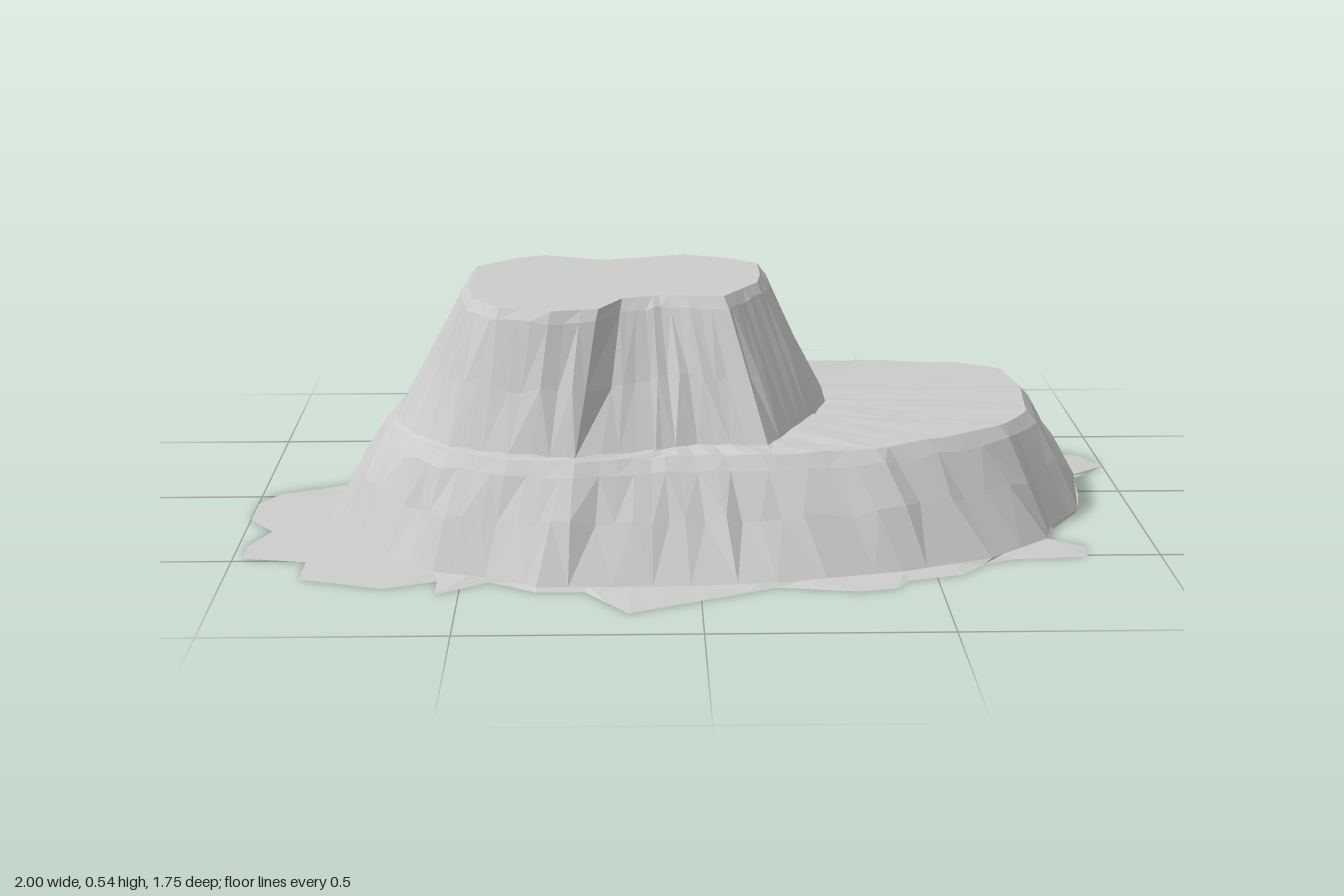
import * as THREE from 'three';

const SEGMENTS = 90;
const STEP = (Math.PI * 2) / SEGMENTS;
const CENTRE = [-0.12, 0.1];
const SUMMIT_HEIGHT = 0.544;

// Plan outlines as x, z pairs in hundredths of a unit
const SKIRT = [-39,-88, -25,-83, -25,-78, -12,-77, -6,-81, -1,-78, 3,-73, 10,-80, 19,-79, 28,-69, 36,-65, 43,-56,
  44,-47, 60,-46, 66,-50, 73,-48, 82,-43, 84,-36, 96,-32, 100,-22, 95,-15, 87,-18, 89,-8, 88,7, 88,14, 86,21, 80,30,
  78,39, 85,44, 84,51, 75,49, 61,56, 56,63, 44,67, 41,72, 33,74, 16,71, -15,87, -24,73, -34,73, -44,66, -55,65,
  -55,74, -84,63, -84,51, -93,53, -98,48, -98,39, -94,28, -100,19, -100,6, -96,-2, -80,-10, -77,-25, -72,-25,
  -75,-40, -70,-45, -70,-56, -59,-67, -48,-73];
const LOWER_BASE = [89,-8, 88,7, 87,20, 79,31, 77,40, 63,54, 43,63, 16,70, -2,72, -23,72, -34,72, -45,65, -56,61,
  -67,51, -74,43, -79,30, -82,16, -80,0, -77,-13, -70,-21, -72,-40, -69,-50, -59,-60, -47,-72, -24,-75, -8,-74,
  8,-67, 19,-61, 30,-50, 43,-43, 62,-46, 75,-41, 83,-29];
// The two tiers meet in one wall along the front right
const LOWER_TOP = [75,-24, 77,-8, 76,6, 75,18, 67,31, 54,40, 38,50, 16,54, 3,54, -10,56, -26,60, -40,57, -53,50,
  -61,41, -67,26, -67,8, -65,-8, -62,-18, -61,-34, -56,-45, -45,-56, -29,-61, -16,-61, -5,-55, 8,-46, 30,-34,
  43,-33, 59,-32, 70,-29];
const UPPER_BASE = [30,-2, 30,11, 27,22, 23,32, 15,49, 0,49, -9,53, -26,59, -40,56, -53,49, -60,40, -66,26, -66,8,
  -63,-8, -57,-16, -45,-20, -21,-21, -8,-27, 8,-28, 16,-26, 24,-17];
const UPPER_TOP = [15,-2, 15,11, 14,20, 6,35, -8,34, -16,37, -21,48, -31,50, -42,46, -48,36, -50,22, -49,8, -49,0,
  -40,-10, -34,-13, -21,-7, -13,-9, -2,-13, 8,-9];

let seed = 7;
function jitter(amount) {
  seed = (seed * 16807) % 2147483647;
  return (seed / 2147483647 - 0.5) * 2 * amount;
}

// Signed difference between two angles
const turn = (a, b) => Math.atan2(Math.sin(a - b), Math.cos(a - b));

// Sample an outline at even angles, keeping its corners where possible
function ring(outline, heightAt) {
  const points = [];
  for (let i = 0; i < outline.length; i += 2) {
    points.push([outline[i] / 100 - CENTRE[0], outline[i + 1] / 100 - CENTRE[1]]);
  }
  const angles = points.map(([x, z]) => Math.atan2(z, x));
  const result = [];
  for (let s = 0; s < SEGMENTS; s++) {
    const corner = angles.findIndex((a) => Math.abs(turn(a, s * STEP)) < STEP * 0.5);
    const angle = corner >= 0 ? angles[corner] : s * STEP;
    const dx = Math.cos(angle), dz = Math.sin(angle);
    let radius = corner >= 0 ? Math.hypot(...points[corner]) : 0;
    if (corner < 0) {
      points.forEach(([ax, az], i) => {
        const [bx, bz] = points[(i + 1) % points.length];
        const ex = bx - ax, ez = bz - az;
        const det = dx * ez - dz * ex;
        if (Math.abs(det) < 1e-9) return;
        const t = (ax * ez - az * ex) / det;
        const u = (ax * dz - az * dx) / det;
        if (t > 0 && u >= -1e-6 && u <= 1 + 1e-6) radius = Math.max(radius, t);
      });
    }
    result.push(new THREE.Vector3(CENTRE[0] + dx * radius, heightAt(angle), CENTRE[1] + dz * radius));
  }
  return result;
}

// Ring between two others, roughened sideways and in height
function between(outer, inner, t, rough, lift, bulge = 0) {
  return outer.map((p, i) => {
    const q = p.clone().lerp(inner[i], t);
    const out = new THREE.Vector3(q.x - CENTRE[0], 0, q.z - CENTRE[1]).normalize();
    q.addScaledVector(out, bulge + jitter(rough));
    q.y += jitter(lift);
    return q;
  });
}

// Faceted surface through rings ordered from outside to inside
function band(name, rings, material) {
  const index = [];
  for (let r = 0; r < rings.length - 1; r++) {
    for (let s = 0; s < SEGMENTS; s++) {
      const n = (s + 1) % SEGMENTS;
      const a = r * SEGMENTS + s, b = r * SEGMENTS + n;
      const c = a + SEGMENTS, d = b + SEGMENTS;
      if (s % 2) index.push(a, c, b, b, c, d);
      else index.push(a, c, d, a, d, b);
    }
  }
  const indexed = new THREE.BufferGeometry().setFromPoints(rings.flat());
  indexed.setIndex(index);
  const geometry = indexed.toNonIndexed();
  geometry.computeVertexNormals();
  const mesh = new THREE.Mesh(geometry, material);
  mesh.name = name;
  return mesh;
}

// Level cap filling a ring
function cap(name, points, height, material) {
  const shape = new THREE.Shape(points.map((p) => new THREE.Vector2(p.x, -p.z)));
  const geometry = new THREE.ShapeGeometry(shape).rotateX(-Math.PI / 2).translate(0, height, 0);
  const mesh = new THREE.Mesh(geometry, material);
  mesh.name = name;
  return mesh;
}

export function createModel() {
  seed = 7;
  const stone = new THREE.MeshStandardMaterial({ color: 0xcccccc, flatShading: true, side: THREE.DoubleSide });
  stone.name = 'pale grey stone';

  // The foot lifts off the ground in a shallow arch on the left side
  const arch = (a) => 0.055 * Math.exp(-((turn(a, -0.03) / 0.1) ** 2));
  const skirt = ring(SKIRT, (a) => arch(a));
  const lowerBase = ring(LOWER_BASE, (a) => 0.008 + arch(a));
  const lowerTop = ring(LOWER_TOP, () => 0.24 + jitter(0.003));
  const upperBase = ring(UPPER_BASE, () => 0.25 + jitter(0.003));
  const upperTop = ring(UPPER_TOP, () => SUMMIT_HEIGHT);

  const group = new THREE.Group();
  group.name = 'rockMesa';
  group.add(
    // Thin ragged ground around the foot
    band('groundSkirt', [skirt, lowerBase], stone),
    // Lower tier
    band('lowerCliff', [lowerBase, between(lowerBase, lowerTop, 0.5, 0.008, 0.01, 0.006),
      between(lowerBase, lowerTop, 0.88, 0.003, 0.004, 0.007), lowerTop], stone),
    band('shelf', [lowerTop, between(lowerTop, upperBase, 0.5, 0, 0.002), upperBase], stone),
    // Upper tier
    band('upperCliff', [upperBase, between(upperBase, upperTop, 0.45, 0.006, 0.012),
      between(upperBase, upperTop, 0.92, 0.002, 0.004, 0.006), upperTop], stone),
    cap('summit', upperTop, SUMMIT_HEIGHT, stone),
  );
  return group;
}
